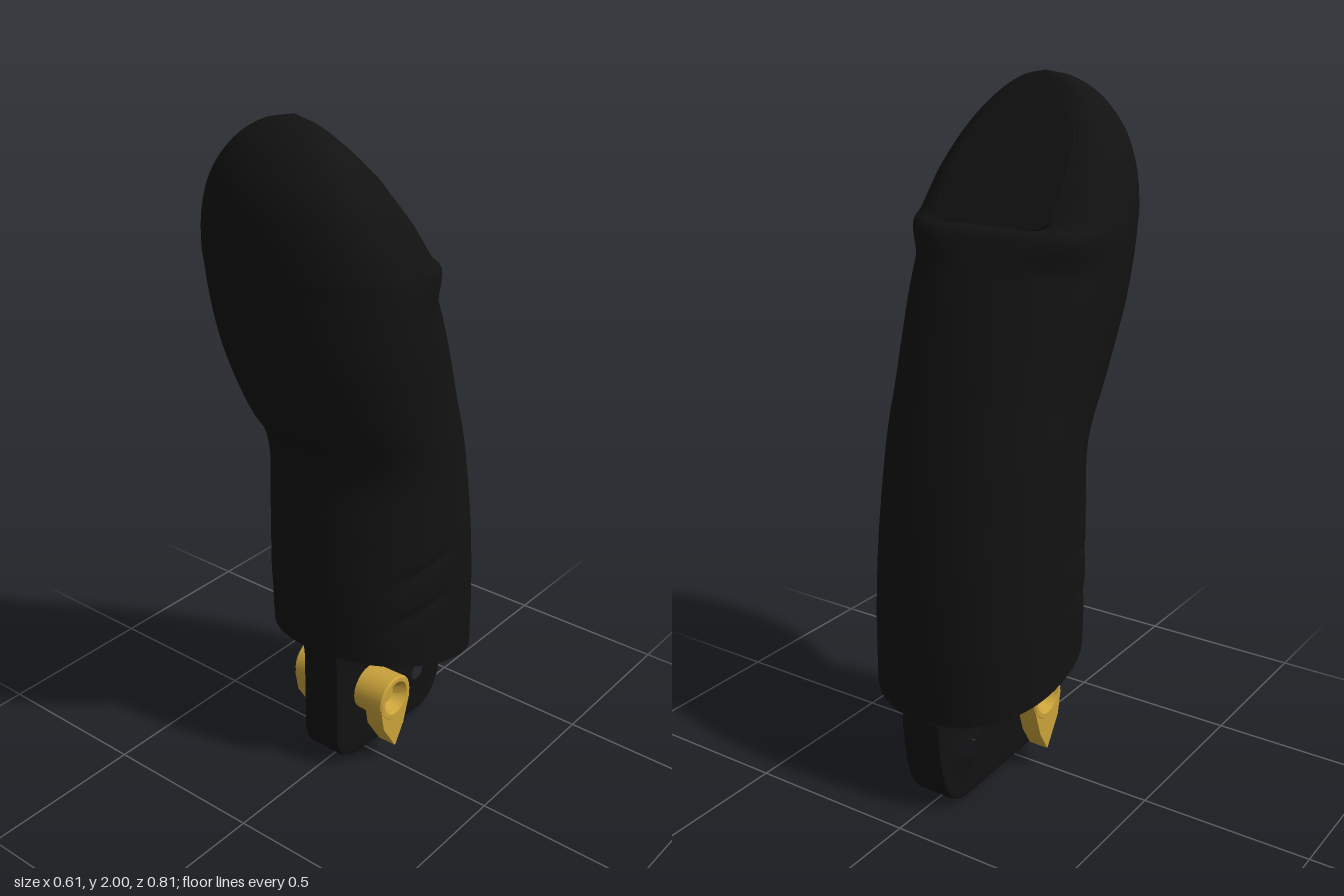
import * as THREE from 'three';
import { toCreasedNormals } from 'three/addons/utils/BufferGeometryUtils.js';

const black = new THREE.MeshStandardMaterial({ color: 0x121212 });
const brass = new THREE.MeshStandardMaterial({ color: 0xc9a23a });

function addMesh(parent, name, geometry, material) {
  const mesh = new THREE.Mesh(geometry, material);
  mesh.name = name;
  parent.add(mesh);
  return mesh;
}

// Cross-sections, bottom to tip: front z, front y, back z, back y, half width
const sections = [
  [0.20, 0.45, -0.40, 0.29, 0.285],
  [0.21, 0.65, -0.40, 0.50, 0.285],
  [0.205, 0.85, -0.38, 0.72, 0.283],
  [0.20, 1.02, -0.345, 0.92, 0.28],
  [0.22, 1.09, -0.315, 1.05, 0.282],
  [0.27, 1.16, -0.28, 1.17, 0.285],
  [0.325, 1.27, -0.245, 1.28, 0.292],
  [0.37, 1.40, -0.19, 1.42, 0.302],
  [0.395, 1.54, -0.125, 1.55, 0.305],
  [0.40, 1.60, -0.09, 1.605, 0.303],
  [0.405, 1.65, -0.055, 1.625, 0.298],
  [0.402, 1.75, 0.02, 1.73, 0.275],
  [0.385, 1.84, 0.09, 1.825, 0.235],
  [0.35, 1.91, 0.14, 1.895, 0.185],
  [0.31, 1.955, 0.18, 1.945, 0.135],
  [0.26, 1.988, 0.205, 1.98, 0.075],
  [0.22, 2.0, 0.22, 2.0, 0],
];

// Finger body: lofted superellipses, flatter behind at the nail, with side grooves
function fingerGeometry() {
  const curve = (f) => new THREE.CatmullRomCurve3(sections.map(f), false, 'centripetal');
  const front = curve((s) => new THREE.Vector3(0, s[1], s[0]));
  const back = curve((s) => new THREE.Vector3(0, s[3], s[2]));
  const width = curve((s) => new THREE.Vector3(s[4], s[1], 0));
  const rings = 144, sides = 72;
  const positions = [], index = [];
  for (let i = 0; i <= rings; i++) {
    const t = i / rings;
    const f = front.getPoint(t), b = back.getPoint(t);
    const w = Math.max(0, width.getPoint(t).x);
    const flat = 2.2 + 1.8 * THREE.MathUtils.smoothstep(b.y, 1.5, 1.65);
    for (let j = 0; j < sides; j++) {
      const a = (j / sides) * Math.PI * 2;
      const c = Math.cos(a), s = Math.sin(a);
      const n = c < 0 ? flat : 2.1;
      const r = Math.pow(Math.abs(c) ** n + Math.abs(s) ** n, -1 / n);
      const k = 0.5 + 0.5 * c * r;
      const z = THREE.MathUtils.lerp(b.z, f.z, k);
      const y = THREE.MathUtils.lerp(b.y, f.y, k);
      let x = w * s * r;
      for (const grooveY of [0.57, 0.7]) {
        const dy = (y - grooveY - 0.3 * (0.06 - z)) / 0.016;
        const dz = (z - 0.01) / 0.1;
        x -= Math.sign(x) * 0.012 * Math.exp(-dy * dy - dz ** 4);
      }
      positions.push(x, y, z);
    }
  }
  for (let i = 0; i < rings; i++) {
    for (let j = 0; j < sides; j++) {
      const p = i * sides + j, q = i * sides + ((j + 1) % sides);
      if (i < rings - 1) index.push(p, q, q + sides);
      index.push(p, i < rings - 1 ? q + sides : p + sides, i < rings - 1 ? p + sides : p);
      if (i === rings - 1) index.splice(-3, 3, p, q, p + sides);
    }
  }
  // Slanted underside
  const centre = positions.length / 3;
  positions.push(0, 0.37, -0.1);
  for (let j = 0; j < sides; j++) index.push(centre, (j + 1) % sides, j);
  const g = new THREE.BufferGeometry();
  g.setAttribute('position', new THREE.Float32BufferAttribute(positions, 3));
  g.setIndex(index);
  return toCreasedNormals(g, 0.6);
}

// Fingernail plate, lying on the slanted back of the tip
function nailGeometry() {
  const s = new THREE.Shape();
  s.moveTo(-0.14, 0);
  s.quadraticCurveTo(0, -0.012, 0.14, 0);
  s.quadraticCurveTo(0.185, 0.005, 0.187, 0.05);
  s.quadraticCurveTo(0.19, 0.18, 0.165, 0.28);
  s.quadraticCurveTo(0.13, 0.37, 0, 0.39);
  s.quadraticCurveTo(-0.13, 0.37, -0.165, 0.28);
  s.quadraticCurveTo(-0.19, 0.18, -0.187, 0.05);
  s.quadraticCurveTo(-0.185, 0.005, -0.14, 0);
  const g = new THREE.ExtrudeGeometry(s, { depth: 0.03, bevelEnabled: false });
  g.translate(0, 0, -0.003);
  g.rotateX(Math.atan2(0.28, 0.38));
  g.translate(0, 1.618, -0.062);
  return g;
}

// Extrudes a side outline, drawn as (z, y), across x and centres it
function sideExtrude(shape, thickness, bevel = 0) {
  const g = new THREE.ExtrudeGeometry(shape, {
    depth: thickness - 2 * bevel, bevelEnabled: bevel > 0, bevelSize: bevel,
    bevelThickness: bevel, bevelOffset: -bevel, bevelSegments: 2, curveSegments: 16,
  });
  g.translate(0, 0, -thickness / 2 + bevel);
  g.rotateY(-Math.PI / 2);
  return toCreasedNormals(g, 0.5);
}

// Mounting tang with a pin hole
function tangGeometry() {
  const s = new THREE.Shape();
  s.moveTo(0.18, 0.47);
  s.quadraticCurveTo(0.15, 0.42, 0.15, 0.36);
  s.lineTo(0.15, 0.12);
  s.quadraticCurveTo(0.145, 0.02, 0.04, 0.01);
  s.lineTo(-0.27, 0);
  s.quadraticCurveTo(-0.35, 0.01, -0.375, 0.1);
  s.quadraticCurveTo(-0.4, 0.2, -0.4, 0.29);
  s.lineTo(-0.38, 0.34);
  const hole = new THREE.Path();
  hole.absarc(-0.25, 0.15, 0.04, 0, Math.PI * 2, true);
  s.holes.push(hole);
  return sideExtrude(s, 0.13, 0.012);
}

// Brass pivot: countersunk knob with a pointed finger below it
function createPivot(side) {
  const pivot = new THREE.Group();
  pivot.name = side > 0 ? 'leftPivot' : 'rightPivot';
  pivot.position.set(0, 0.235, 0);
  const profile = [[0, 0.06], [0.07, 0.06], [0.072, 0.165], [0.067, 0.17], [0.054, 0.17], [0.03, 0.135], [0, 0.135]];
  const knob = new THREE.LatheGeometry(profile.map((p) => new THREE.Vector2(...p)), 24);
  knob.rotateZ(-side * Math.PI / 2);
  addMesh(pivot, 'knob', toCreasedNormals(knob, 0.5), brass);

  const outline = [[0.071, -0.01], [0.057, -0.085], [0, -0.175], [-0.04, -0.11],
    [-0.069, -0.02], [-0.047, -0.042], [0, -0.062], [0.047, -0.042]];
  const shape = new THREE.Shape(outline.map((p) => new THREE.Vector2(...p)));
  addMesh(pivot, 'pointer', sideExtrude(shape, 0.062), brass).position.x = side * 0.138;
  return pivot;
}

export function createModel() {
  const model = new THREE.Group();
  model.name = 'fingertip';
  addMesh(model, 'fingerBody', fingerGeometry(), black);
  addMesh(model, 'fingernail', nailGeometry(), black);
  addMesh(model, 'mountingTang', tangGeometry(), black);
  for (const side of [1, -1]) model.add(createPivot(side));
  return model;
}
